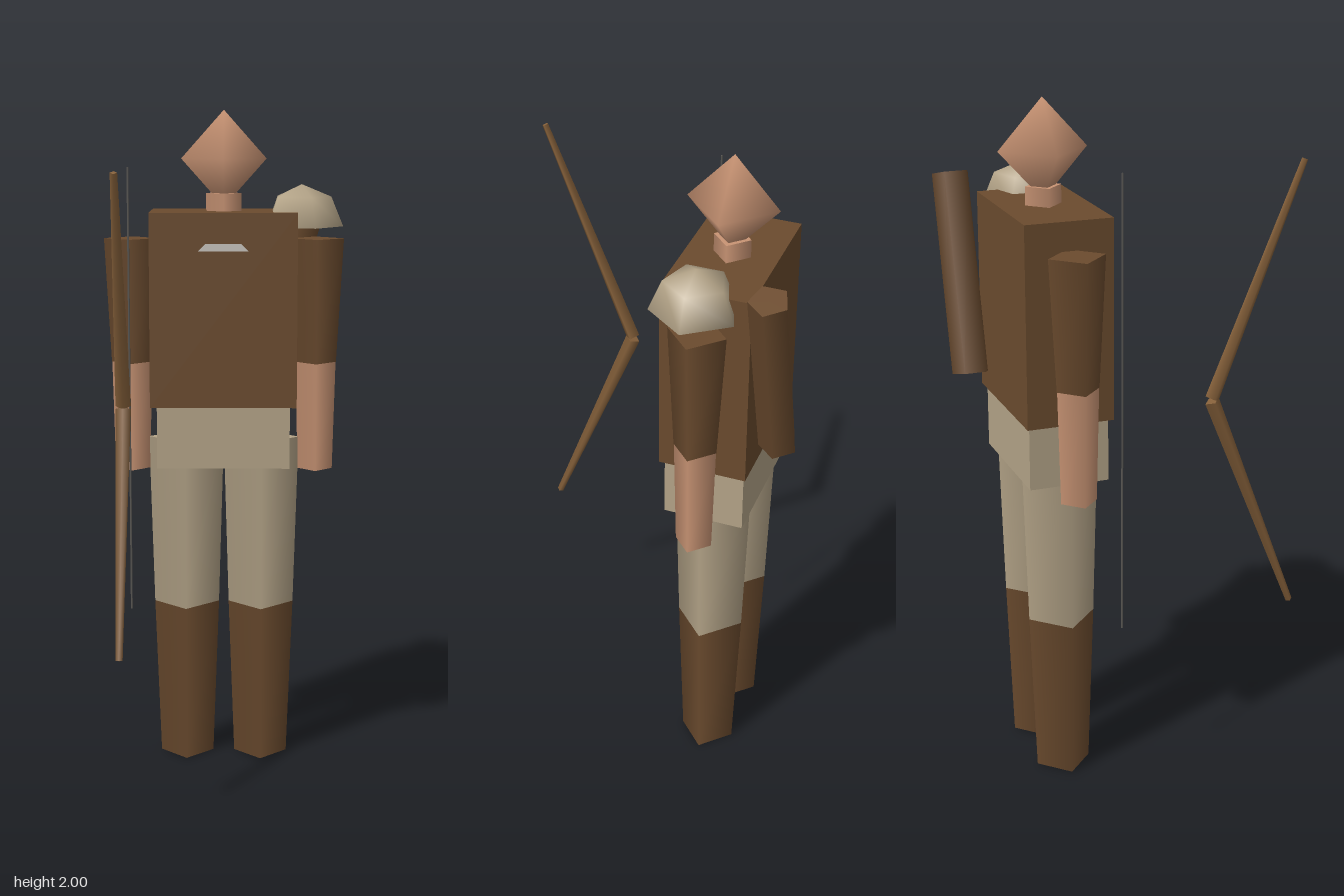
import * as THREE from 'three';

const mat = (name, color, side = THREE.FrontSide) => {
  const m = new THREE.MeshStandardMaterial({ color, side });
  m.name = name;
  return m;
};

export function createModel() {
  const leather = mat('leather', 0x6b4b2e);
  const cloth = mat('cloth', 0xb4a488, THREE.DoubleSide);
  const skin = mat('skin', 0xc99474);
  const wood = mat('bowWood', 0x85603a);
  const cord = mat('cord', 0x5c5a56);
  const metal = mat('metal', 0xc8c5be);

  const Z = -0.217; // depth of the body's centre line
  const model = new THREE.Group();
  model.name = 'archer';

  const add = (name, geometry, material, x, y, z) => {
    const mesh = new THREE.Mesh(geometry, material);
    mesh.name = name;
    mesh.position.set(x, y, z);
    model.add(mesh);
    return mesh;
  };
  // Tapered limb standing upright, four-sided unless stated
  const limb = (name, material, x, z, y0, y1, r0, r1, sides = 4) =>
    add(name, new THREE.CylinderGeometry(r1, r0, y1 - y0, sides), material, x, (y0 + y1) / 2, z);
  // Tapered rod between two points
  const rod = (name, material, a, b, ra, rb, sides, turn = 0) => {
    const from = new THREE.Vector3(...a), to = new THREE.Vector3(...b);
    const dir = to.clone().sub(from);
    const geo = new THREE.CylinderGeometry(rb, ra, dir.length(), sides).rotateY(turn);
    const mid = from.add(to).multiplyScalar(0.5);
    const mesh = add(name, geo, material, mid.x, mid.y, mid.z);
    mesh.quaternion.setFromUnitVectors(new THREE.Vector3(0, 1, 0), dir.normalize());
    return mesh;
  };

  // Head and neck
  add('head', new THREE.SphereGeometry(1, 4, 2).scale(0.128, 0.143, 0.13), skin, 0, 1.857, Z);
  limb('neck', skin, 0, Z, 1.68, 1.755, 0.053, 0.053);

  // Trunk
  add('torso', new THREE.BoxGeometry(0.44, 0.58, 0.255), leather, 0, 1.412, Z);
  add('hips', new THREE.BoxGeometry(0.4, 0.2, 0.234), cloth, 0, 1.035, Z);

  // Arms and legs
  for (const [side, s] of [['left', 1], ['right', -1]]) {
    limb(side + 'UpperArm', leather, s * 0.28, Z, 1.245, 1.62, 0.062, 0.082);
    limb(side + 'Forearm', skin, s * 0.28, Z, 0.915, 1.245, 0.053, 0.061);
    limb(side + 'Thigh', cloth, s * 0.115, Z, 0.49, 1.013, 0.1, 0.115);
    limb(side + 'Boot', leather, s * 0.115, Z, 0, 0.49, 0.082, 0.1);
  }

  // Shoulder guard on the left, with a flat underside
  const padR = 0.125;
  add('shoulderGuard', new THREE.SphereGeometry(padR, 5, 2, 0, Math.PI * 2, 0, Math.PI / 2).rotateY(Math.PI),
    cloth, 0.233, 1.657, -0.196);
  add('shoulderGuardBase', new THREE.CircleGeometry(padR, 5).rotateX(Math.PI / 2),
    cloth, 0.233, 1.657, -0.196);

  // Small clasp on the chest
  const clasp = new THREE.Shape();
  clasp.moveTo(-0.075, 0);
  clasp.lineTo(0.075, 0);
  clasp.lineTo(0.053, 0.022);
  clasp.lineTo(-0.053, 0.022);
  add('chestClasp', new THREE.ExtrudeGeometry(clasp, { depth: 0.008, bevelEnabled: false }),
    metal, 0, 1.59, -0.091);

  // Five-sided quiver slung across the back
  rod('quiver', leather, [0.115, 1.195, -0.405], [0.268, 1.753, -0.405], 0.056, 0.056, 5, Math.PI / 2);

  // Bow limbs meet at the grip; the string hangs behind
  const gripY = 1.168;
  for (const [name, s] of [['upperBowLimb', 1], ['lowerBowLimb', -1]]) {
    rod(name, wood, [-0.28, gripY + s * 0.004, 0.183], [-0.28, gripY + s * 0.667, 0.447], 0.022, 0.01, 4);
  }
  limb('bowString', cord, -0.28, -0.088, 0.5, 1.835, 0.003, 0.003);

  return model;
}
